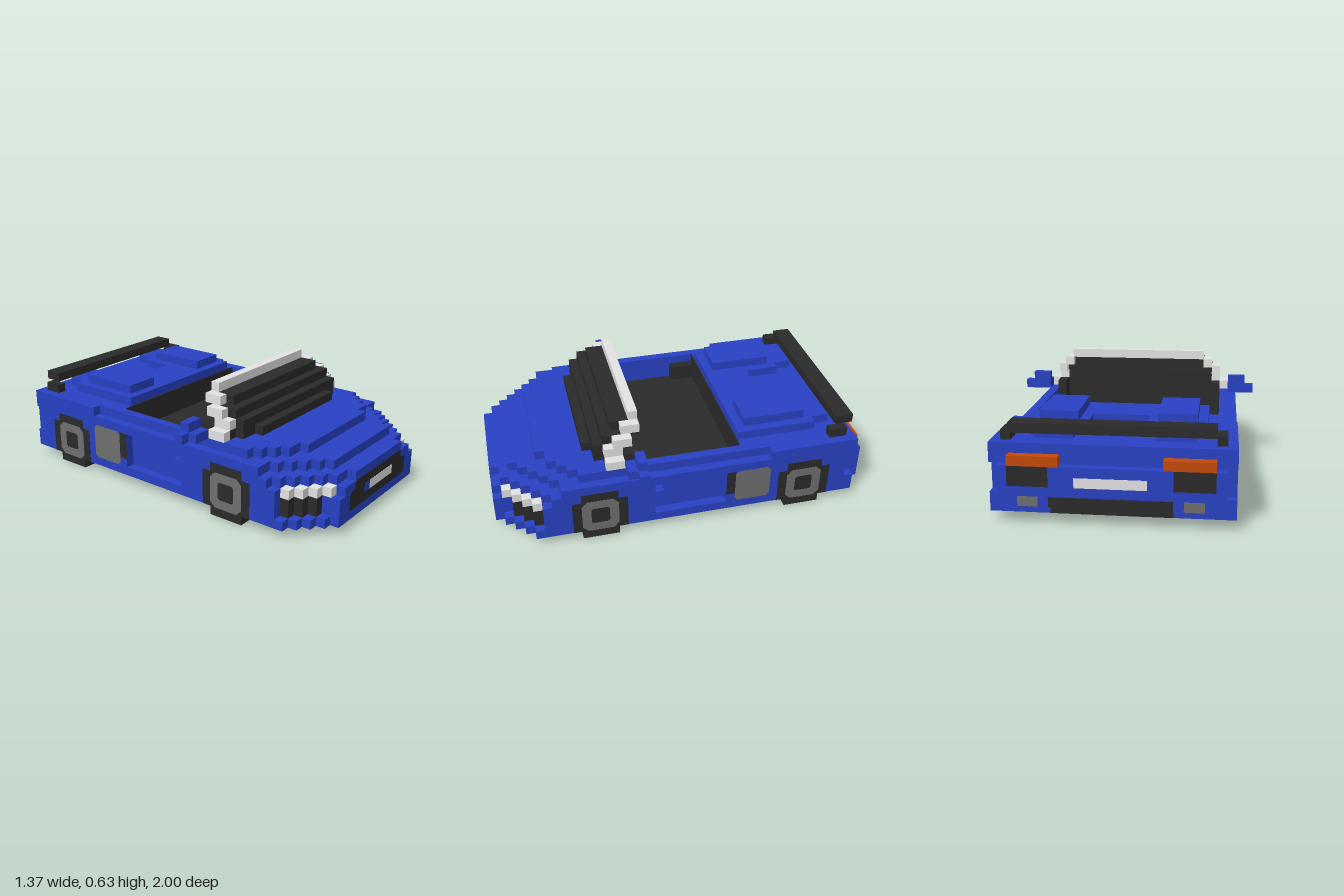
import * as THREE from 'three';

const mat = (name, color) => {
  const m = new THREE.MeshStandardMaterial({ color });
  m.name = name;
  return m;
};

export function createModel() {
  const blue = mat('blue paint', 0x2841c3), dark = mat('dark trim', 0x2a2a2a), silver = mat('silver', 0xe3e3e3);
  const grey = mat('grey metal', 0x6e6e6e), orange = mat('orange lamp', 0xc44a08);
  const root = new THREE.Group();
  root.name = 'blockCar';
  // One unit inside this group is one block; z counts from the tail (0) to the nose (41)
  const car = new THREE.Group();
  car.name = 'car';
  car.scale.setScalar(2 / 41);
  car.position.z = -1;
  root.add(car);

  const add = (name, geo, m) => {
    const mesh = new THREE.Mesh(geo, m);
    mesh.name = name;
    car.add(mesh);
    return mesh;
  };
  const box = (name, m, x0, x1, y0, y1, z0, z1) =>
    add(name, new THREE.BoxGeometry(x1 - x0, y1 - y0, z1 - z0), m)
      .position.set((x0 + x1) / 2, (y0 + y1) / 2, (z0 + z1) / 2);
  const mid = (name, m, x, y0, y1, z0, z1) => box(name, m, -x, x, y0, y1, z0, z1);
  const pair = (name, m, x0, x1, ...r) => {
    box(name, m, x0, x1, ...r);
    box(name, m, -x1, -x0, ...r);
  };
  const poly = (pts) => new THREE.Shape(pts.map(([a, b]) => new THREE.Vector2(a, b)));

  // Horizontal slab from a half outline [x, z], mirrored and extruded upward
  const slab = (name, m, y0, y1, half, hole) => {
    const pts = [...half, ...half.map(([x, z]) => [-x, z]).reverse()];
    const shape = poly(pts.map(([x, z]) => [x, -z]));
    if (hole) shape.holes.push(poly(hole.map(([x, z]) => [x, -z])));
    const geo = new THREE.ExtrudeGeometry(shape, { depth: y1 - y0, bevelEnabled: false });
    add(name, geo.rotateX(-Math.PI / 2).translate(0, y0, 0), m);
  };
  // Stepped nose [outer x, front z], optional door recess, tail points, optional cockpit hole
  const layer = (y0, y1, nose, recessFront, tail, hole) => {
    const half = [];
    let x = 0;
    for (const [nx, z] of nose) {
      if (x > 0) half.push([x, z]);
      half.push([nx, z]);
      x = nx;
    }
    if (recessFront) half.push([12, recessFront], [11, recessFront], [11, 16], [12, 16]);
    half.push(...tail);
    slab('body', blue, y0, y1, half, hole);
  };
  const lampNose = [[8, 41], [9, 38], [10, 37], [11, 36], [12, 36]];
  const flatTail = [[12, 1]], stepTail = [[12, 1], [11, 1], [11, 0]], deepTail = [[12, 2], [11, 2], [11, 0]];
  const cockpit = [[-10, 14], [10, 14], [10, 28], [-10, 28]];
  layer(1, 2, [[8, 41], [9, 40], [10, 39], [11, 38], [12, 37]], 0, flatTail);
  layer(2, 3, lampNose, 24, stepTail);
  layer(3, 4, lampNose, 23, deepTail);
  layer(4, 5, [[7, 41], [8, 38], [9, 37], [10, 36], [11, 35], [12, 36]], 23, deepTail);
  layer(5, 6, [[5, 41], [7, 40], [8, 39], [9, 38], [10, 37], [11, 36], [12, 35]], 24, deepTail, cockpit);
  layer(6, 7, [[6, 39], [7, 38], [8, 37], [9, 36], [10, 35], [11, 34], [12, 34]], 0, flatTail, cockpit);
  layer(7, 8, [[6, 36], [8, 35], [9, 34], [10, 33], [11, 32]], 0, [[11, 11], [12, 11], [12, 1]], cockpit);

  // Cockpit
  mid('cockpitFloor', dark, 10, 4.95, 5.1, 14, 28);
  mid('dashboard', dark, 10, 5, 8, 27, 28);
  mid('cockpitRearWall', dark, 10, 5, 8, 14, 14.15);
  pair('cockpitRearCorner', dark, 9, 10, 5, 7, 14, 17);
  pair('cockpitFrontCorner', dark, 9, 10, 5, 9, 25, 27);

  // Stepped windscreen and frame
  mid('windscreen', dark, 7, 8, 9, 28, 31);
  mid('windscreen', dark, 9, 8, 9, 28, 30);
  mid('windscreen', dark, 10, 8, 9, 27, 29);
  mid('windscreen', dark, 9, 9, 10, 27, 30);
  mid('windscreen', dark, 9, 10, 11, 27, 29);
  mid('windscreen', dark, 8, 11, 12, 26, 28);
  pair('windscreenPillar', silver, 10, 11, 8, 9, 27, 29);
  pair('windscreenPillar', silver, 9, 10, 9, 10, 27, 29);
  pair('windscreenPillar', silver, 9, 10, 10, 11, 26, 28);
  pair('windscreenPillar', silver, 8, 9, 11, 12, 25, 27);
  mid('windscreenRail', silver, 8, 12, 13, 25, 26);

  // Mirrors
  pair('mirror', blue, 11, 14, 8, 9, 25, 26);
  pair('mirror', blue, 11, 13, 9, 10, 25, 26);
  pair('mirror', blue, 11, 13, 8, 9, 26, 27);

  // Rear deck and fairings
  slab('rearDeck', blue, 8, 9, [[9, 14], [9, 5], [8, 5], [8, 3], [4, 3], [4, 5], [3, 5], [3, 9]]);
  pair('fairing', blue, 4, 8, 9, 10, 6, 13);

  // Spoiler
  mid('spoiler', dark, 10, 9, 10, 1, 3);
  pair('spoilerPost', dark, 10, 11, 8, 9, 2, 4);

  // Thin side plates drawn in (z, y) on both flanks
  const sidePlate = (name, m, shape, d) => {
    for (const x of [12 + d, -12]) {
      const geo = new THREE.ExtrudeGeometry(shape, { depth: d, bevelEnabled: false });
      add(name, geo.rotateY(-Math.PI / 2).translate(x, 0, 0), m);
    }
  };
  const clipped = (z0, z1, y0, y1, c) => poly([
    [z0 + c, y0], [z1 - c, y0], [z1, y0 + c], [z1, y1 - c],
    [z1 - c, y1], [z0 + c, y1], [z0, y1 - c], [z0, y0 + c]]);

  // Wheels
  for (const z of [30, 7]) {
    pair('tyre', dark, 9, 12, 0, 1, z - 2, z + 2);
    sidePlate('tyre', dark, poly([[z - 3, 1], [z + 3, 1], [z + 3, 5], [z + 2, 5],
      [z + 2, 6], [z - 2, 6], [z - 2, 5], [z - 3, 5]]), 0.03);
    const ring = clipped(z - 2, z + 2, 1, 5, 0.6);
    ring.holes.push(clipped(z - 1, z + 1, 2, 4, 0.2));
    sidePlate('wheelRim', grey, ring, 0.06);
  }
  // Side intakes
  sidePlate('intakePanel', grey, clipped(11, 15, 2, 6, 0.35), 0.03);
  sidePlate('intakeEdge', dark, poly([[15, 3], [16, 3], [16, 6], [15, 6]]), 0.03);

  // Headlamps and corner intakes step back around the nose
  for (let i = 0; i < 4; i++) {
    pair('headlamp', silver, 7 + i, 8 + i, 4, 5, 38 - i, 40 - i);
    if (i) pair('cornerIntake', dark, 7 + i, 8 + i, 2, 4, 38 - i, 40 - i);
  }
  // Grille and front plate
  const grille = poly([[-5.8, 2], [5.8, 2], [6, 2.2], [6, 3.8], [5.8, 4], [5, 4.2], [5, 4.8], [4.8, 5],
    [-4.8, 5], [-5, 4.8], [-5, 4.2], [-5.8, 4], [-6, 3.8], [-6, 2.2]]);
  add('grille', new THREE.ExtrudeGeometry(grille, { depth: 0.03, bevelEnabled: false }).translate(0, 0, 41), dark);
  box('frontPlate', silver, -2, 3, 3, 4, 41, 41.06);
  box('frontPlateBadge', blue, -3, -2, 3, 4, 41, 41.06);

  // Tail
  pair('tailLamp', orange, 5, 10, 6, 7, 0, 1);
  pair('tailPanel', dark, 6, 10, 4, 6, -0.04, 0);
  pair('exhaust', grey, 7, 9, 2, 3, -0.04, 0);
  mid('rearPlate', silver, 3.5, 4, 5, -0.04, 0);
  mid('rearDiffuser', dark, 6, 2, 3, -0.04, 0);
  mid('rearDiffuser', dark, 6, 1, 2, 0.96, 1);
  return root;
}
